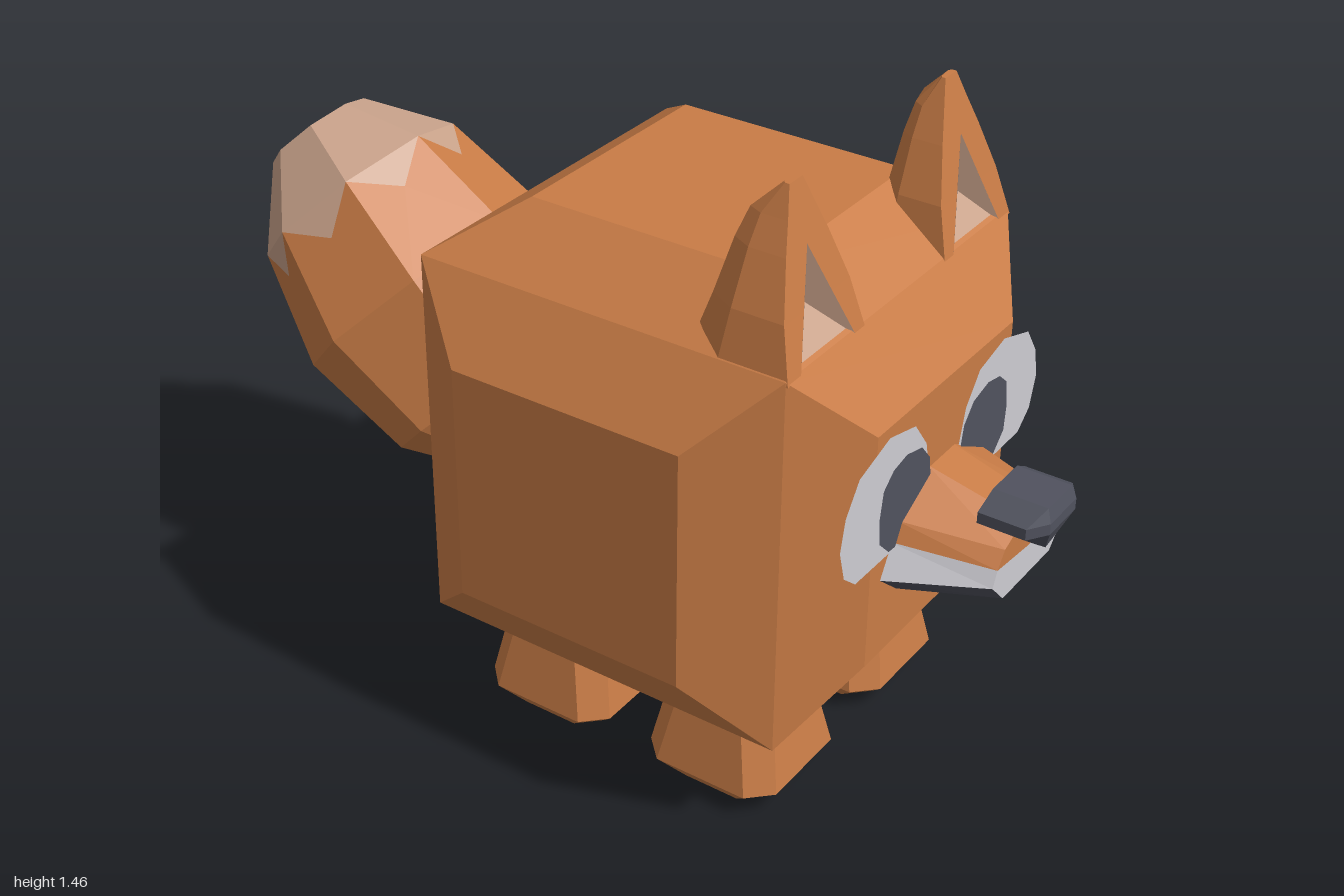
import * as THREE from 'three';
import { ConvexGeometry } from 'three/addons/geometries/ConvexGeometry.js';

const ORANGE = 0xc97c46, TAN = 0xcaa38b, PALE = 0xcdccd2, DARK = 0x50525e, GREY = 0x85878e;
const V = (x, y, z) => new THREE.Vector3(x, y, z);
const mix = THREE.MathUtils.lerp;

function mesh(name, color, geometry, side = THREE.FrontSide) {
  const m = new THREE.Mesh(geometry, new THREE.MeshStandardMaterial({ color, side, flatShading: true }));
  m.name = name;
  return m;
}

// Convex polygons as triangle fans, each turned to face away from centre
function facets(name, color, polygons, centre, side) {
  const points = [];
  for (const poly of polygons) {
    for (let i = 1; i < poly.length - 1; i++) {
      const [a, b, c] = [poly[0], poly[i], poly[i + 1]];
      const n = b.clone().sub(a).cross(c.clone().sub(a));
      const mid = a.clone().add(b).add(c).divideScalar(3).sub(centre);
      points.push(...(n.dot(mid) < 0 ? [a, c, b] : [a, b, c]));
    }
  }
  const g = new THREE.BufferGeometry().setFromPoints(points);
  g.computeVertexNormals();
  return mesh(name, color, g, side);
}

// Quads joining successive rings
function loft(rings, closed = true) {
  const quads = [];
  for (let r = 0; r < rings.length - 1; r++) {
    const a = rings[r], b = rings[r + 1], n = a.length;
    for (let i = 0; i < (closed ? n : n - 1); i++) {
      const j = (i + 1) % n;
      quads.push([a[i], a[j], b[j], b[i]]);
    }
  }
  return quads;
}

// Bevelled cube: six square panels, each with four bevels out to the cube corners
function body() {
  const group = new THREE.Group(), centre = V(0, 0.7, 0.19);
  group.name = 'body';
  const coat = [], belly = [];
  for (let axis = 0; axis < 3; axis++) {
    for (const s of [-1, 1]) {
      const at = (u, v, half, d) => {
        const p = [0, 0, 0];
        p[axis] = s * d;
        p[(axis + 1) % 3] = u * half;
        p[(axis + 2) % 3] = v * half;
        return V(...p).add(centre);
      };
      const corners = [[-1, -1], [1, -1], [1, 1], [-1, 1]];
      const inner = corners.map(([u, v]) => at(u, v, 0.27, 0.54));
      const outer = corners.map(([u, v]) => at(u, v, 0.43, 0.43));
      (axis === 1 && s < 0 ? belly : coat).push(inner);
      for (let i = 0; i < 4; i++) {
        const j = (i + 1) % 4, quad = [inner[i], inner[j], outer[j], outer[i]];
        const lowFront = quad.every(p => p.y < 0.5 && p.z > 0.4);
        (lowFront ? belly : coat).push(quad);
      }
    }
  }
  group.add(facets('coat', ORANGE, coat, centre), facets('belly', GREY, belly, centre));
  return group;
}

function leg(name, x, z) {
  const ring = (y, h) => {
    const k = h - 0.05;
    return [[h, -k], [h, k], [k, h], [-k, h], [-h, k], [-h, -k], [-k, -h], [k, -h]]
      .map(([a, b]) => V(x + a, y, z + b));
  };
  const rings = [ring(0, 0.115), ring(0.055, 0.16), ring(0.215, 0.13)];
  return facets(name, ORANGE, [...loft(rings), rings[0], rings[2]], V(x, 0.1, z));
}

function ear(s) {
  const group = new THREE.Group(), centre = V(s * 0.29, 1.25, 0.52);
  group.name = s > 0 ? 'leftEar' : 'rightEar';
  // height, inner x, outer x, front z, back z
  const levels = [
    [1.12, 0.155, 0.43, 0.625, 0.385], [1.23, 0.175, 0.405, 0.597, 0.42],
    [1.34, 0.215, 0.362, 0.57, 0.445], [1.40, 0.24, 0.335, 0.555, 0.465],
    [1.46, 0.265, 0.31, 0.54, 0.525],
  ];
  const rings = levels.map(([y, xi, xo, zf, zb]) =>
    [[0, 0], [0, 0.55], [0.15, 0.8], [0.85, 1], [1, 0.65], [1, 0]]
      .map(([u, w]) => V(s * mix(xi, xo, u), y, mix(zf, zb, w))));
  const polys = [...loft(rings, false), rings[4]];
  // Front rim around the hollow, solid above it
  const hole = [[0.19, 0.385], [0.24, 0.337], [0.29, 0.29]]
    .map((xs, i) => xs.map(x => V(s * x, levels[i][0], levels[i][3])));
  for (let i = 0; i < 4; i++) {
    const a = rings[i], b = rings[i + 1];
    if (i < 2) {
      polys.push([a[0], hole[i][0], hole[i + 1][0], b[0]], [a[5], hole[i][1], hole[i + 1][1], b[5]]);
    } else {
      polys.push([a[0], a[5], b[5], b[0]]);
    }
  }
  group.add(facets('earShell', ORANGE, polys, centre, THREE.DoubleSide));
  // Three-sided hollow; seen from the front its faces point toward +z
  const [l, r] = hole[0], top = hole[2][0], deep = V(s * 0.29, 1.23, 0.53);
  group.add(facets('earHollow', TAN, [[l, r, deep], [l, deep, top], [r, deep, top]],
    V(s * 0.29, 1.2, -5), THREE.DoubleSide));
  return group;
}

// Flat outline lying on the face
function patch(name, color, s, z, outline) {
  const pts = outline.map(([x, y]) => V(s * x, y, z));
  return facets(name, color, [pts], V(0, 0.8, 0), THREE.DoubleSide);
}

function muzzle() {
  const group = new THREE.Group(), centre = V(0, 0.65, 0.8);
  group.name = 'muzzle';
  // Half sections from the bridge down to the chin
  const back = [[0.05, 0.79], [0.17, 0.725], [0.19, 0.685], [0.23, 0.615], [0.16, 0.555], [0, 0.53]];
  const front = [[0.04, 0.735], [0.11, 0.705], [0.135, 0.67], [0.15, 0.635], [0.10, 0.583], [0, 0.583]];
  const top = [], lip = [], jaw = [];
  const at = (list, s, z) => list.map(([x, y]) => V(s * x, y, z));
  for (const s of [-1, 1]) {
    const b = at(back, s, 0.725), f = at(front, s, 0.935), mid = V(0, 0.655, 0.935);
    loft([b, f], false).forEach((q, i) => (i < 2 ? top : i < 3 ? lip : jaw).push(q));
    top.push([mid, f[2], f[1], f[0], V(0, 0.735, 0.935)]);
    lip.push([mid, f[2], f[3], f[4], f[5]]);
  }
  const [bl, br, fl, fr] = [at(back, -1, 0.725)[0], at(back, 1, 0.725)[0], at(front, -1, 0.935)[0], at(front, 1, 0.935)[0]];
  top.push([bl, br, fr, fl]);
  group.add(facets('bridge', ORANGE, top, centre), facets('lip', PALE, lip, centre), facets('jaw', DARK, jaw, centre));
  return group;
}

function nose() {
  const pts = [V(0, 0.662, 0.97), V(0, 0.662, 0.935)];
  for (const s of [-1, 1]) {
    pts.push(V(s * 0.05, 0.79, 0.87), V(s * 0.05, 0.79, 0.99));
    for (const y of [0.735, 0.76]) {
      pts.push(V(s * 0.1, y, 0.865), V(s * 0.1, y, 0.97), V(s * 0.055, y, 1));
    }
  }
  return mesh('nose', DARK, new ConvexGeometry(pts));
}

// Eight-sided egg tilted up and back, with a toothed pale tip
function tail() {
  const group = new THREE.Group(), centre = V(0, 0.755, -0.605);
  group.name = 'tail';
  const axis = V(0, 1, -1).normalize(), up = V(0, 1, 1).normalize();
  const rings = [[-0.43, 0.13], [-0.27, 0.265], [0, 0.32], [0.265, 0.26], [0.43, 0.127]].map(([d, r]) =>
    Array.from({ length: 8 }, (_, i) => {
      const a = i * Math.PI / 4;
      return centre.clone().addScaledVector(axis, d).addScaledVector(up, r * Math.cos(a)).add(V(r * Math.sin(a), 0, 0));
    }));
  const fur = [rings[0], ...loft(rings.slice(0, 3))];
  const tip = [rings[4], ...loft(rings.slice(3))];
  for (const [a, b, c, d] of loft(rings.slice(2, 4))) {
    const m = d.clone().lerp(c, 0.5).lerp(a.clone().lerp(b, 0.5), 0.3);
    tip.push([d, m, c]);
    fur.push([a, b, m], [a, m, d], [b, c, m]);
  }
  group.add(facets('tailFur', ORANGE, fur, centre), facets('tailTip', TAN, tip, centre));
  return group;
}

export function createModel() {
  const model = new THREE.Group();
  model.add(body(), muzzle(), nose(), tail());
  const eyePatch = [[0.4, 0.78], [0.385, 0.85], [0.34, 0.915], [0.23, 0.95], [0.13, 0.925], [0.08, 0.86],
    [0.06, 0.78], [0.09, 0.69], [0.2, 0.67], [0.335, 0.672], [0.38, 0.71]];
  const eye = [[0.26, 0.78], [0.25, 0.84], [0.215, 0.87], [0.165, 0.88], [0.105, 0.865], [0.07, 0.825],
    [0.06, 0.77], [0.075, 0.71], [0.13, 0.675], [0.215, 0.68], [0.255, 0.72]];
  for (const s of [-1, 1]) {
    const sideName = s > 0 ? 'left' : 'right';
    model.add(ear(s));
    model.add(patch(sideName + 'EyePatch', PALE, s, 0.734, eyePatch));
    model.add(patch(sideName + 'Eye', DARK, s, 0.738, eye));
    model.add(leg(sideName + 'FrontLeg', s * 0.215, 0.41), leg(sideName + 'BackLeg', s * 0.215, -0.02));
  }
  return model;
}
